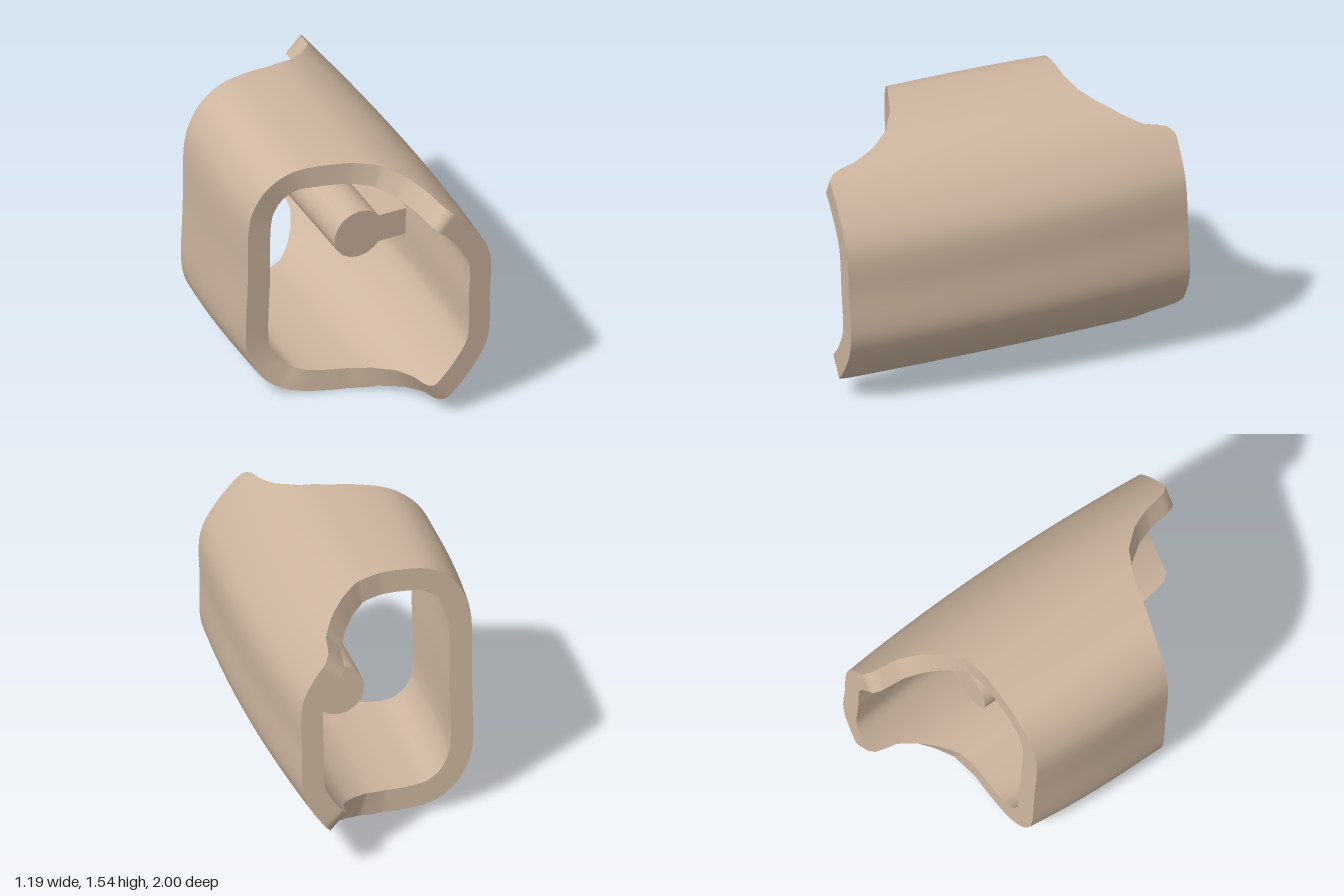
import * as THREE from 'three';

const material = new THREE.MeshStandardMaterial({ color: 0xcdb59f });
const THICK = 0.135, SIDES = 200, ROWS = 14;

// Upper half of the D-shaped outline, from the rounded side over to the flat side
const half = [[0.58, 0.29], [0.47, 0.475], [0.3, 0.635], [0.1, 0.725], [-0.05, 0.745], [-0.2, 0.745],
  [-0.32, 0.73], [-0.4, 0.7], [-0.5, 0.62], [-0.568, 0.5], [-0.592, 0.39]];

// End positions along z, given as [x, z] steps
const frontEnd = [[-0.6, 0.345], [-0.4, 0.39], [-0.2, 0.45], [-0.05, 0.495], [0.1, 0.57], [0.2, 0.68],
  [0.26, 0.8], [0.29, 0.93], [0.33, 0.975], [0.6, 0.975]];
const backEnd = [[-0.6, -0.5], [-0.05, -0.5], [0.1, -0.53], [0.2, -0.6], [0.3, -0.7], [0.37, -0.8],
  [0.4, -0.93], [0.44, -0.975], [0.6, -0.975]];

function lookup(table, x) {
  for (let i = 1; i < table.length; i++) {
    const [x0, z0] = table[i - 1], [x1, z1] = table[i];
    if (x <= x1) return z0 + (z1 - z0) * Math.max(0, (x - x0) / (x1 - x0));
  }
  return table[table.length - 1][1];
}

// Slight barrel shape: the section narrows in x towards the ends
function barrel(x, z) {
  const d = z - 0.1;
  return x > 0 ? x * (1 - 0.08 * d * d) : x * (1 - 0.18 * Math.min(0, d) ** 2);
}

// Closed band between two loops of points
function band(name, from, to, rows) {
  const pos = [], index = [], n = from.length, p = new THREE.Vector3();
  for (let j = 0; j <= rows; j++) {
    for (let i = 0; i < n; i++) {
      p.lerpVectors(from[i], to[i], j / rows);
      pos.push(barrel(p.x, p.z), p.y, p.z);
    }
  }
  for (let j = 0; j < rows; j++) {
    for (let i = 0; i < n; i++) {
      const k = (i + 1) % n, a = j * n + i, b = j * n + k, c = b + n, d = a + n;
      index.push(a, b, c, a, c, d);
    }
  }
  const g = new THREE.BufferGeometry();
  g.setAttribute('position', new THREE.Float32BufferAttribute(pos, 3));
  g.setIndex(index);
  g.computeVertexNormals();
  const mesh = new THREE.Mesh(g, material);
  mesh.name = name;
  return mesh;
}

function createSleeve() {
  const outline = [[0.59, 0], ...half, [-0.592, 0], ...half.map(([x, y]) => [x, -y]).reverse()];
  const curve = new THREE.CatmullRomCurve3(outline.map(([x, y]) => new THREE.Vector3(x, y, 0)), true);
  const pts = curve.getSpacedPoints(SIDES).slice(0, SIDES);
  const loops = { outFront: [], inFront: [], outBack: [], inBack: [] };
  pts.forEach((p, i) => {
    // Inner wall is the outline moved inwards along its normal
    const t = pts[(i + 1) % SIDES].clone().sub(pts[(i + SIDES - 1) % SIDES]).normalize();
    const ix = p.x - t.y * THICK, iy = p.y + t.x * THICK;
    const zf = lookup(frontEnd, p.x), zb = lookup(backEnd, p.x);
    loops.outFront.push(new THREE.Vector3(p.x, p.y, zf));
    loops.inFront.push(new THREE.Vector3(ix, iy, zf));
    loops.outBack.push(new THREE.Vector3(p.x, p.y, zb));
    loops.inBack.push(new THREE.Vector3(ix, iy, zb));
  });
  const sleeve = new THREE.Group();
  sleeve.name = 'sleeve';
  sleeve.add(
    band('outerWall', loops.outBack, loops.outFront, ROWS),
    band('frontRim', loops.outFront, loops.inFront, 1),
    band('innerWall', loops.inFront, loops.inBack, ROWS),
    band('backRim', loops.inBack, loops.outBack, 1),
  );
  return sleeve;
}

// Round peg inside, carried by a flat web from the rounded wall
function createPeg() {
  const peg = new THREE.Group();
  peg.name = 'innerPeg';
  const rod = new THREE.Mesh(new THREE.CylinderGeometry(0.148, 0.148, 0.58, 18), material);
  rod.name = 'pegRod';
  rod.rotation.x = Math.PI / 2;
  rod.position.x = 0.172;
  const web = new THREE.Mesh(new THREE.BoxGeometry(0.25, 0.17, 0.58), material);
  web.name = 'pegWeb';
  web.position.x = 0.365;
  peg.add(rod, web);
  peg.position.z = -0.12;
  return peg;
}

export function createModel() {
  const model = new THREE.Group();
  model.name = 'sleeveWithPeg';
  // The whole part leans slightly forward
  const body = new THREE.Group();
  body.name = 'body';
  body.add(createSleeve(), createPeg());
  body.rotation.x = 0.043;
  body.position.y = 0.765;
  model.add(body);
  return model;
}
